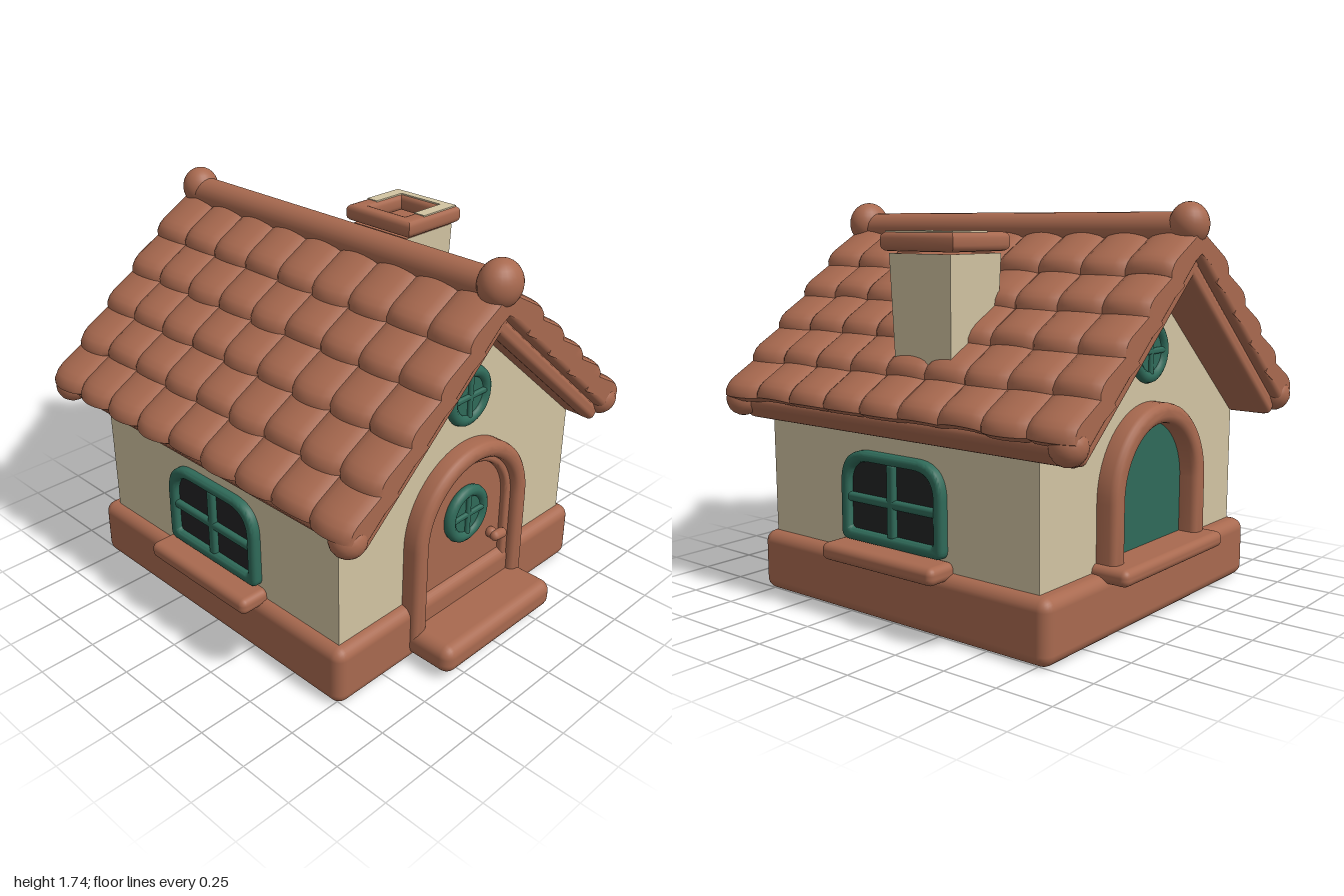
import * as THREE from 'three';
import { toCreasedNormals } from 'three/addons/utils/BufferGeometryUtils.js';
import { RoundedBoxGeometry } from 'three/addons/geometries/RoundedBoxGeometry.js';

const mat = (name, color) => {
  const m = new THREE.MeshStandardMaterial({ color });
  m.name = name;
  return m;
};

export function createModel() {
  const clay = mat('terracotta', 0xa8694f);
  const cream = mat('cream plaster', 0xd2c4a2);
  const teal = mat('teal paint', 0x2f6a59);
  const dark = mat('dark glass', 0x222324);
  const model = new THREE.Group();
  model.name = 'cottage';

  const add = (parent, name, geo, material, x = 0, y = 0, z = 0) => {
    const m = new THREE.Mesh(geo, material);
    m.name = name;
    m.position.set(x, y, z);
    parent.add(m);
    return m;
  };
  const group = (parent, name) => {
    const g = new THREE.Group();
    g.name = name;
    parent.add(g);
    return g;
  };
  const rbox = (w, h, d, r) => new RoundedBoxGeometry(w, h, d, 3, r);
  // Extrusion whose bevel stays inside the given depth
  const extrude = (shape, depth, bevel = 0) => {
    const g = new THREE.ExtrudeGeometry(shape, {
      depth: depth - 2 * bevel, bevelEnabled: bevel > 0, bevelSize: bevel,
      bevelThickness: bevel, bevelOffset: -bevel, bevelSegments: 3, curveSegments: 20,
    });
    g.translate(0, 0, bevel);
    return toCreasedNormals(g, 0.7);
  };

  // Base, front step and walls
  add(model, 'base', rbox(1.56, 0.27, 1.6, 0.05), clay, 0, 0.135, -0.01);
  add(model, 'frontStep', rbox(0.72, 0.13, 0.3, 0.05), clay, 0, 0.092, 0.85);
  const wallShape = new THREE.Shape([
    [-0.73, 0.2], [0.73, 0.2], [0.735, 0.83], [0, 1.48], [-0.735, 0.83],
  ].map(([x, y]) => new THREE.Vector2(x, y)));
  add(model, 'walls', extrude(wallShape, 1.48), cream, 0, 0, -0.74);

  // Arched band or, without an inner width, a solid arched panel
  const spring = 0.55;
  const arch = (w, y0, wi) => {
    const s = new THREE.Shape();
    s.moveTo(-w, y0);
    s.lineTo(-w, spring);
    s.absarc(0, spring, w, Math.PI, 0, true);
    s.lineTo(w, y0);
    if (wi) {
      s.lineTo(wi, y0);
      s.lineTo(wi, spring);
      s.absarc(0, spring, wi, 0, Math.PI, false);
      s.lineTo(-wi, y0);
    }
    return s;
  };

  // Round window with a cross of bars
  const roundWindow = (parent, name, y, z) => {
    const g = group(parent, name);
    g.position.set(0, y, z);
    add(g, 'windowRing', new THREE.TorusGeometry(0.107, 0.026, 10, 32), teal);
    const disc = new THREE.CylinderGeometry(0.11, 0.11, 0.008, 32);
    add(g, 'windowPane', disc.rotateX(Math.PI / 2), teal, 0, 0, 0.004);
    add(g, 'uprightBar', rbox(0.026, 0.2, 0.03, 0.01), teal, 0, 0, 0.006);
    add(g, 'crossBar', rbox(0.2, 0.026, 0.03, 0.01), teal, 0, 0, 0.006);
  };

  // Front door
  const front = group(model, 'frontDoor');
  add(front, 'doorFrame', extrude(arch(0.36, 0.1, 0.285), 0.14, 0.03), clay, 0, 0, 0.685);
  add(front, 'doorInnerFrame', extrude(arch(0.3, 0.1, 0.255), 0.09, 0.015), clay, 0, 0, 0.695);
  add(front, 'doorPanel', extrude(arch(0.28, 0.1), 0.055), clay, 0, 0, 0.7);
  roundWindow(front, 'doorWindow', 0.57, 0.768);
  const handle = new THREE.CapsuleGeometry(0.024, 0.045, 6, 12).rotateZ(1.45);
  add(front, 'doorHandle', handle, clay, 0.205, 0.38, 0.795);
  add(front, 'handleStem', new THREE.SphereGeometry(0.026, 12, 8), clay, 0.185, 0.388, 0.77);
  roundWindow(model, 'frontGableWindow', 1.12, 0.745);

  // Arched opening on the back
  const back = group(model, 'backSide');
  back.rotation.y = Math.PI;
  add(back, 'backArchFrame', extrude(arch(0.36, 0.25, 0.275), 0.14, 0.03), clay, 0, 0, 0.69);
  add(back, 'backArchPanel', extrude(arch(0.285, 0.26), 0.045), teal, 0, 0, 0.7);
  add(back, 'backSill', rbox(0.78, 0.07, 0.2, 0.03), clay, 0, 0.27, 0.805);
  roundWindow(back, 'backGableWindow', 1.12, 0.745);

  // Side windows with sills
  const roundedOutline = (C, w, y0, y1, rt, rb) => {
    const s = new C();
    s.moveTo(-w + rb, y0);
    s.lineTo(w - rb, y0);
    s.quadraticCurveTo(w, y0, w, y0 + rb);
    s.lineTo(w, y1 - rt);
    s.quadraticCurveTo(w, y1, w - rt, y1);
    s.lineTo(-w + rt, y1);
    s.quadraticCurveTo(-w, y1, -w, y1 - rt);
    s.lineTo(-w, y0 + rb);
    s.quadraticCurveTo(-w, y0, -w + rb, y0);
    return s;
  };
  for (const side of [1, -1]) {
    const g = group(model, side > 0 ? 'leftWindow' : 'rightWindow');
    g.rotation.y = side * Math.PI / 2;
    const frame = roundedOutline(THREE.Shape, 0.285, 0.32, 0.71, 0.15, 0.04);
    frame.holes.push(roundedOutline(THREE.Path, 0.235, 0.37, 0.665, 0.11, 0.02));
    add(g, 'windowFrame', extrude(frame, 0.07, 0.018), teal, 0, 0, 0.702);
    const pane = roundedOutline(THREE.Shape, 0.25, 0.35, 0.68, 0.12, 0.02);
    add(g, 'windowGlass', extrude(pane, 0.008), dark, 0, 0, 0.736);
    add(g, 'uprightBar', rbox(0.045, 0.32, 0.034, 0.015), teal, 0, 0.515, 0.75);
    add(g, 'crossBar', rbox(0.5, 0.04, 0.034, 0.015), teal, 0, 0.505, 0.75);
    add(g, 'windowSill', rbox(0.63, 0.075, 0.15, 0.03), clay, 0, 0.278, 0.79);
  }

  // Roof: each half is built along its slope, x down the slope and y outward
  const roof = group(model, 'roof');
  roof.position.set(0, 1.42, -0.03);
  const columns = 9, pitch = 0.211, length = columns * pitch;
  let seed = 7;
  const rand = () => (seed = (seed * 16807) % 2147483647) / 2147483647;

  // One course of wavy tiles, thicker and rounded at its lower edge
  const tileCourse = (end) => {
    const len = 0.26, thick = 0.08;
    const jitter = Array.from({ length: columns + 1 }, () => (rand() - 0.5) * 0.024);
    const geo = new THREE.BoxGeometry(len, thick, length, 8, 2, columns * 10);
    const p = geo.attributes.position;
    for (let i = 0; i < p.count; i++) {
      const u = p.getX(i) / len + 0.5, v = p.getY(i) / thick, z = p.getZ(i);
      const t = z / pitch + columns / 2;
      const wave = Math.pow(Math.abs(Math.sin(Math.PI * t)), 0.6);
      const j = jitter[Math.min(columns, Math.floor(t + 1e-4))];
      const nose = 0.022 * Math.max(0, (u - 0.75) * 4) ** 2;
      const s = end - len + u * len + u * (0.02 * wave + j * wave - Math.abs(v) * 0.03);
      const n = 0.108 + 0.052 * u + 0.026 * wave + v * thick - (v > 0 ? nose : 0);
      p.setXYZ(i, s, n, z);
    }
    return toCreasedNormals(geo, 0.9);
  };

  for (const side of [1, -1]) {
    const turn = group(roof, side > 0 ? 'leftRoof' : 'rightRoof');
    turn.rotation.y = side > 0 ? 0 : Math.PI;
    const slope = group(turn, 'slope');
    slope.rotation.z = -0.72;
    add(slope, 'roofSlab', rbox(1.12, 0.13, length - 0.08, 0.04), clay, 0.44, 0.068, 0);
    for (let i = 0; i < 5; i++) add(slope, 'tileCourse', tileCourse(0.16 + i * 0.208), clay);
    for (const e of [1, -1]) {
      add(slope, 'bargeBoard', rbox(1.12, 0.1, 0.08, 0.03), clay, 0.44, 0.115, e * (length / 2 - 0.04));
      add(slope, 'bargeTrim', rbox(1.1, 0.07, 0.08, 0.025), clay, 0.43, 0.035, e * (length / 2 - 0.075));
      add(slope, 'eaveCorner', new THREE.SphereGeometry(0.075, 16, 12), clay, 0.97, 0.115, e * (length / 2 - 0.06));
    }
  }

  // Ridge roll with knobs at both ends
  const ridge = new THREE.CylinderGeometry(0.07, 0.07, 1.8, 20).rotateX(Math.PI / 2);
  add(model, 'ridgeRoll', ridge, clay, 0, 1.615, -0.03);
  const knob = new THREE.SphereGeometry(0.1, 24, 16);
  add(model, 'frontRidgeKnob', knob, clay, 0, 1.635, 0.865).scale.z = 0.85;
  add(model, 'backRidgeKnob', knob, clay, 0, 1.635, -0.92).scale.set(0.85, 0.9, 0.8);

  // Chimney: shaft flaring slightly upward, inner slope side in terracotta
  const chimney = group(model, 'chimney');
  chimney.position.set(0.53, 0, -0.105);
  const shaft = new THREE.BoxGeometry(0.3, 0.55, 0.32);
  const sp = shaft.attributes.position;
  for (let i = 0; i < sp.count; i++) {
    const k = sp.getY(i) > 0 ? 1.03 : 0.92;
    sp.setXYZ(i, sp.getX(i) * k, sp.getY(i), sp.getZ(i) * k);
  }
  shaft.computeVertexNormals();
  add(chimney, 'chimneyShaft', shaft, [cream, clay, clay, cream, cream, cream], 0, 1.245, 0);
  const square = (C, x, z) => new C([[-x, -z], [x, -z], [x, z], [-x, z]].map(([a, b]) => new THREE.Vector2(a, b)));
  const rim = square(THREE.Shape, 0.175, 0.195);
  rim.holes.push(square(THREE.Path, 0.105, 0.105));
  add(chimney, 'chimneyCap', extrude(rim, 0.078, 0.025).rotateX(-Math.PI / 2), clay, 0, 1.528, 0);
  // Cream patch on the outer part of the cap
  const patch = new THREE.Shape([
    [-0.06, -0.18], [0.16, -0.18], [0.16, 0.18], [-0.05, 0.18],
    [-0.05, 0.12], [0.12, 0.12], [0.12, -0.12], [-0.06, -0.12],
  ].map(([x, y]) => new THREE.Vector2(x, y)));
  add(chimney, 'capPatch', extrude(patch, 0.008).rotateX(-Math.PI / 2), cream, 0, 1.602, 0);

  return model;
}
